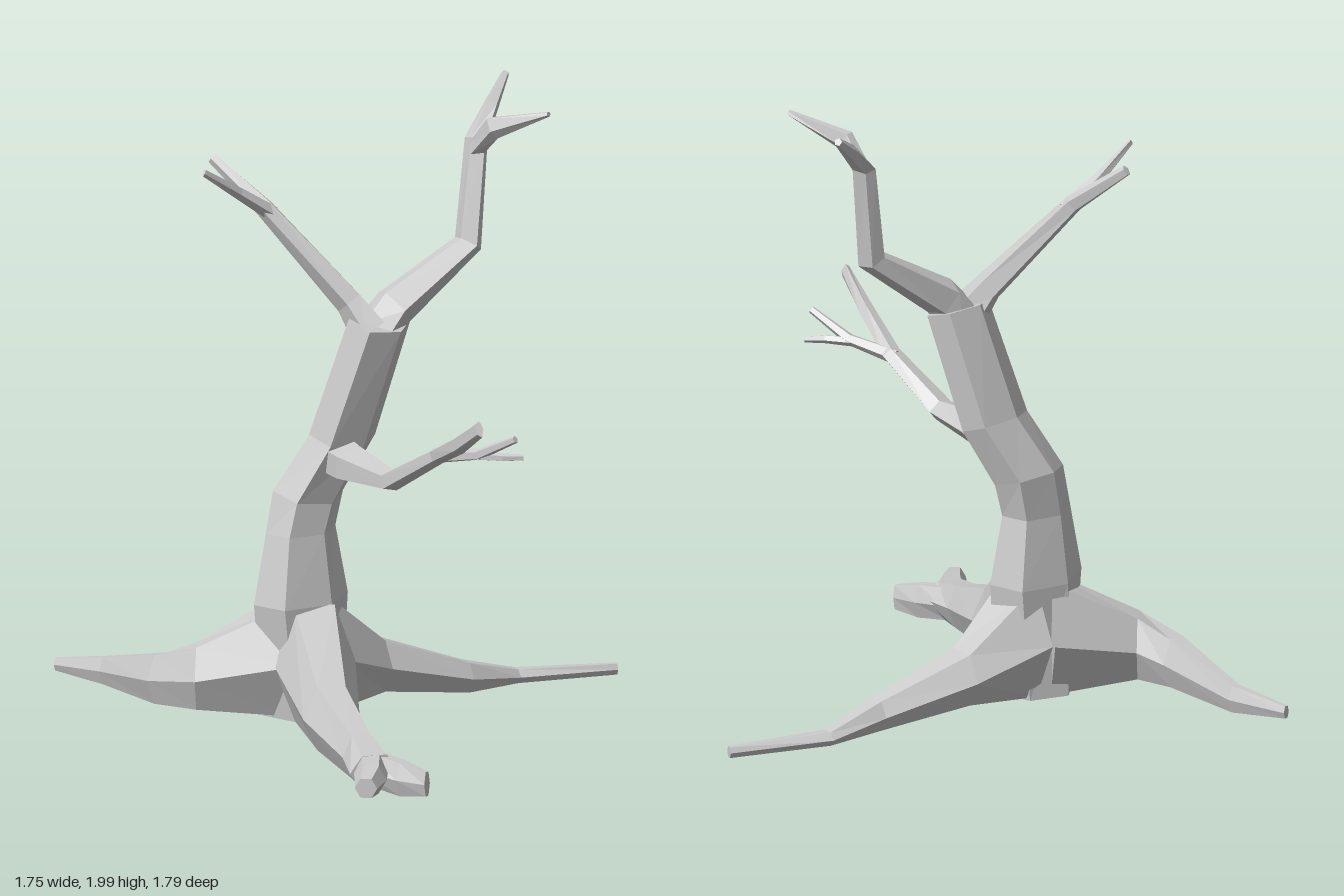
import * as THREE from 'three';

const X = new THREE.Vector3(1, 0, 0);
const Y = new THREE.Vector3(0, 1, 0);
const Z = new THREE.Vector3(0, 0, 1);
const material = new THREE.MeshStandardMaterial({ color: 0xcccccc, flatShading: true });

// Faceted limb through rings of [x, y, z, half width, half height].
// ref is the direction of the height; square keeps every ring parallel to it.
function limb(name, rings, ref, sides = 5, square = false) {
  const centres = rings.map(r => new THREE.Vector3(r[0], r[1], r[2]));
  const last = rings.length - 1;
  const loops = rings.map((r, i) => {
    const t = centres[Math.min(i + 1, last)].clone().sub(centres[Math.max(i - 1, 0)]);
    if (square) t.addScaledVector(ref, -t.dot(ref));
    t.normalize();
    const v = ref.clone().addScaledVector(t, -t.dot(ref)).normalize();
    const u = v.clone().cross(t);
    return Array.from({ length: sides }, (_, k) => {
      const a = (k / sides) * Math.PI * 2;
      return centres[i].clone()
        .addScaledVector(u, Math.cos(a) * r[3])
        .addScaledVector(v, Math.sin(a) * r[4]);
    });
  });
  const tris = [];
  for (let k = 0; k < sides; k++) {
    const n = (k + 1) % sides;
    for (let i = 0; i < last; i++) {
      const a = loops[i][k], b = loops[i][n], c = loops[i + 1][n], d = loops[i + 1][k];
      tris.push(a, b, c, a, c, d);
    }
    tris.push(centres[0], loops[0][n], loops[0][k]);
    tris.push(centres[last], loops[last][k], loops[last][n]);
  }
  const geometry = new THREE.BufferGeometry().setFromPoints(tris);
  geometry.computeVertexNormals();
  const mesh = new THREE.Mesh(geometry, material);
  mesh.name = name;
  return mesh;
}

function group(name, ...parts) {
  const g = new THREE.Group();
  g.name = name;
  g.add(...parts);
  return g;
}

export function createModel() {
  // Leaning trunk
  const trunk = limb('trunk', [
    [-0.19, 0.045, -0.04, 0.13, 0.13],
    [-0.195, 0.41, -0.04, 0.125, 0.178],
    [-0.19, 0.63, -0.045, 0.095, 0.13],
    [-0.16, 0.75, -0.04, 0.1, 0.13],
    [-0.09, 0.93, 0.04, 0.09, 0.127],
    [-0.03, 1.3, 0.14, 0.09, 0.115],
  ], X, 6, true);

  // Three spreading roots, the first one ending in two toes
  const rightRoot = group('rightFrontRoot',
    limb('rootBody', [
      [-0.24, 0.23, 0.05, 0.13, 0.21],
      [-0.46, 0.135, 0.3, 0.09, 0.115],
      [-0.61, 0.085, 0.54, 0.06, 0.08],
      [-0.69, 0.07, 0.66, 0.08, 0.062],
    ], Y, 6, true),
    limb('outerToe', [
      [-0.67, 0.075, 0.63, 0.055, 0.06],
      [-0.77, 0.07, 0.71, 0.05, 0.05],
      [-0.86, 0.07, 0.765, 0.035, 0.035],
    ], Y, 6, true),
    limb('innerToe', [
      [-0.65, 0.07, 0.62, 0.05, 0.06],
      [-0.65, 0.055, 0.74, 0.035, 0.062],
      [-0.64, 0.05, 0.83, 0.016, 0.045],
    ], Y, 6, true));

  const leftRoot = limb('leftRoot', [
    [-0.13, 0.23, -0.03, 0.15, 0.21],
    [0.11, 0.15, 0.02, 0.09, 0.095],
    [0.38, 0.075, 0.15, 0.055, 0.055],
    [0.58, 0.043, 0.19, 0.036, 0.025],
    [0.86, 0.036, 0.365, 0.016, 0.02],
  ], Y, 6, true);

  const backRoot = limb('backRoot', [
    [-0.21, 0.23, -0.07, 0.16, 0.21],
    [-0.42, 0.17, -0.27, 0.085, 0.115],
    [-0.43, 0.14, -0.41, 0.055, 0.09],
    [-0.345, 0.1, -0.7, 0.028, 0.05],
    [-0.355, 0.09, -0.89, 0.014, 0.023],
  ], Y, 6, true);

  // Low branch reaching forward, split into a bough and two twigs
  const lowBranch = group('frontBranch',
    limb('bough', [
      [-0.1, 0.87, 0.02, 0.09, 0.065],
      [-0.17, 0.865, 0.15, 0.075, 0.06],
      [-0.24, 0.865, 0.36, 0.045, 0.035],
      [-0.28, 0.99, 0.58, 0.032, 0.027],
      [-0.37, 1.07, 0.74, 0.025, 0.03],
      [-0.45, 1.16, 0.885, 0.013, 0.028],
    ], Y),
    limb('upperTwig', [
      [-0.28, 0.985, 0.56, 0.025, 0.025],
      [-0.262, 1.015, 0.73, 0.02, 0.018],
      [-0.255, 1.085, 0.87, 0.012, 0.012],
    ], Y),
    limb('lowerTwig', [
      [-0.265, 1.01, 0.71, 0.018, 0.016],
      [-0.23, 1.01, 0.8, 0.015, 0.013],
      [-0.19, 1.01, 0.85, 0.01, 0.01],
    ], Y));

  // Tall crooked branch with a forked end
  const leftBranch = group('upperLeftBranch',
    limb('bough', [
      [-0.04, 1.26, 0.13, 0.07, 0.08],
      [0.02, 1.34, 0.16, 0.065, 0.075],
      [0.26, 1.51, 0.26, 0.042, 0.05],
      [0.32, 1.83, 0.245, 0.03, 0.042],
      [0.42, 1.91, 0.22, 0.026, 0.026],
      [0.54, 1.985, 0.18, 0.013, 0.013],
    ], Z),
    limb('forkTwig', [
      [0.31, 1.8, 0.25, 0.03, 0.03],
      [0.285, 1.89, 0.34, 0.038, 0.025],
      [0.325, 1.955, 0.53, 0.008, 0.012],
    ], X));

  // Thin backward branch with a forked end
  const rightBranch = group('upperRightBranch',
    limb('bough', [
      [-0.065, 1.27, 0.13, 0.07, 0.05],
      [-0.09, 1.36, 0.07, 0.05, 0.038],
      [-0.215, 1.65, -0.17, 0.03, 0.032],
      [-0.25, 1.785, -0.35, 0.018, 0.016],
    ], X),
    limb('forkTwig', [
      [-0.2, 1.63, -0.15, 0.026, 0.026],
      [-0.31, 1.71, -0.195, 0.02, 0.02],
      [-0.45, 1.8, -0.22, 0.012, 0.006],
    ], Z));

  return group('deadTree', trunk, rightRoot, leftRoot, backRoot, lowBranch, leftBranch, rightBranch);
}
